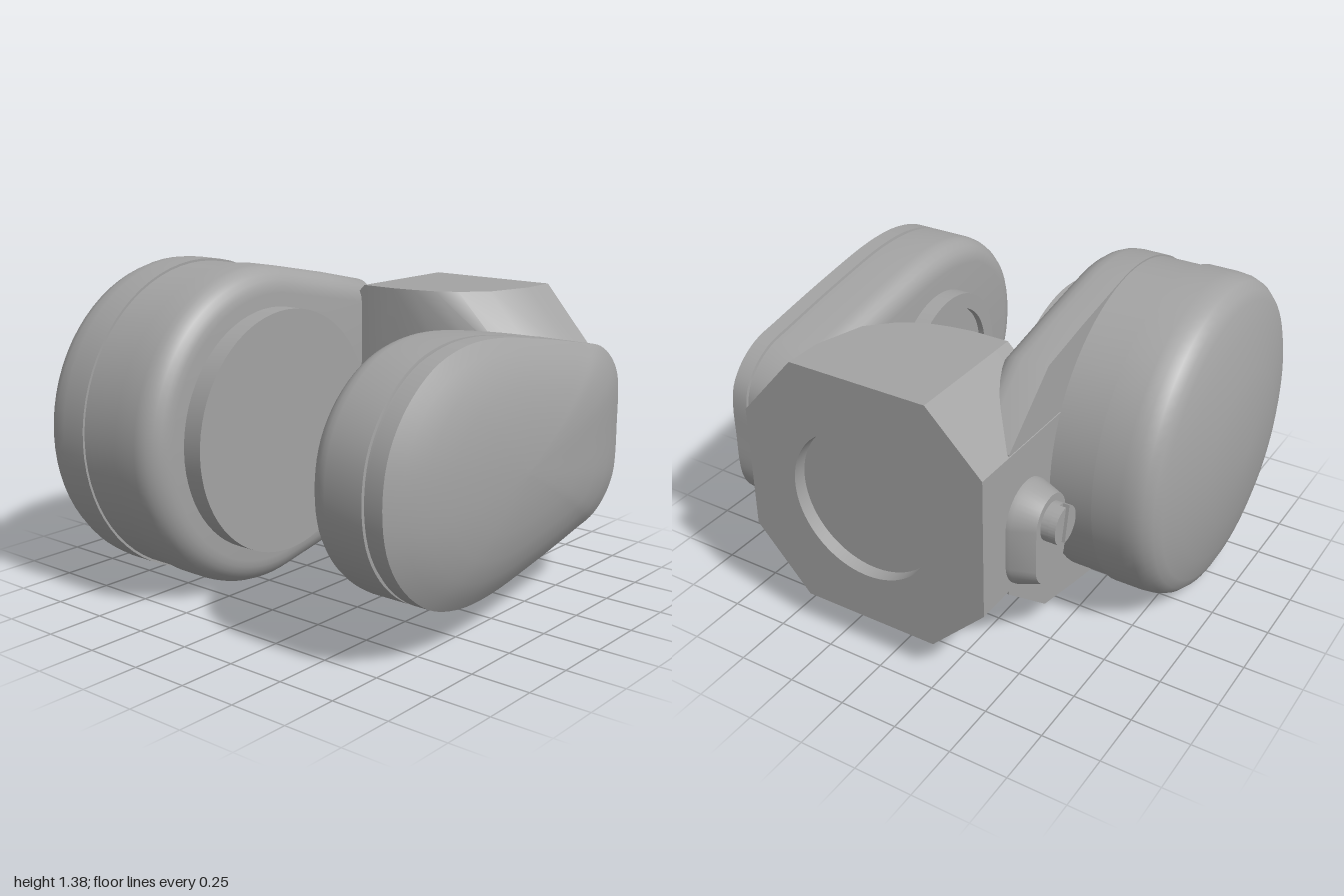
import * as THREE from 'three';
import { toCreasedNormals } from 'three/addons/utils/BufferGeometryUtils.js';

const CY = 0.69; // height of the horizontal axis of symmetry

// Skin counter-clockwise [x, y] outlines stacked along z, with closed ends
function loft(rings) {
  const n = rings[0].pts.length, pos = [], idx = [];
  const centre = (r) => r.pts.reduce((s, p) => [s[0] + p[0] / n, s[1] + p[1] / n], [0, 0]);
  for (const r of rings) for (const p of r.pts) pos.push(p[0], p[1], r.z);
  const last = rings.length - 1, c0 = rings.length * n, c1 = c0 + 1;
  pos.push(...centre(rings[0]), rings[0].z, ...centre(rings[last]), rings[last].z);
  for (let j = 0; j < n; j++) {
    const k = (j + 1) % n;
    for (let i = 0; i < last; i++) {
      const a = i * n + j, b = i * n + k;
      idx.push(a, b, b + n, a, b + n, a + n);
    }
    idx.push(c0, k, j, c1, last * n + j, last * n + k);
  }
  const g = new THREE.BufferGeometry();
  g.setAttribute('position', new THREE.Float32BufferAttribute(pos, 3));
  g.setIndex(idx);
  return g;
}

// Move an outline inwards along its normals
function inset(pts, d) {
  const n = pts.length;
  return pts.map((p, i) => {
    const a = pts[(i + n - 1) % n], b = pts[(i + 1) % n];
    const tx = b[0] - a[0], ty = b[1] - a[1], l = Math.hypot(tx, ty);
    return [p[0] - (ty / l) * d, p[1] + (tx / l) * d];
  });
}

const scaled = (pts, s, cx, cy) => pts.map(([x, y]) => [cx + (x - cx) * s, cy + (y - cy) * s]);

// Turned part on an axis along z, profile as [radius, z]
function turned(profile, x, y) {
  const g = new THREE.LatheGeometry(profile.map((p) => new THREE.Vector2(...p)), 72);
  return g.rotateX(Math.PI / 2).translate(x, y, 0);
}

// Closed smooth outline from its lower half, mirrored about the axis
function smoothOutline(lower, count) {
  const upper = lower.slice(1, -1).reverse().map(([x, y]) => [x, 2 * CY - y]);
  const v = [...lower, ...upper].map(([x, y]) => new THREE.Vector3(x, y, 0));
  const curve = new THREE.CatmullRomCurve3(v, true, 'centripetal');
  return curve.getPoints(count).slice(0, count).map((p) => [p.x, p.y]);
}

// Octagonal section of the bridge, u = -z, with a variable front edge
function octagon(front, flat) {
  return [[0.21, 0.15], [0.45, 0.39], [0.45, 1.0], [0.21, 1.24],
    [-flat, 1.24], [-front, 0.96], [-front, 0.42], [-flat, 0.15]];
}

export function createModel() {
  const group = new THREE.Group();
  const grey = new THREE.MeshStandardMaterial({ color: 0xa3a3a3 });
  grey.name = 'grey metal';
  const add = (name, geometry, crease = 0.6) => {
    const mesh = new THREE.Mesh(toCreasedNormals(geometry, crease), grey);
    mesh.name = name;
    group.add(mesh);
  };

  // Rear drum with domed cap
  add('rearDrum', turned([[0, -1], [0.33, -0.967], [0.5, -0.93], [0.6, -0.9], [0.64, -0.882],
    [0.67, -0.85], [0.685, -0.81], [0.69, -0.76], [0.69, -0.64], [0.68, -0.64], [0.68, -0.4]], -0.24, CY));

  // Rear arm: teardrop with a rounded inner edge
  const tear = [];
  for (let i = 0; i <= 48; i++) {
    const a = THREE.MathUtils.degToRad(78 + (204 * i) / 48);
    tear.push([-0.24 + 0.687 * Math.cos(a), CY + 0.687 * Math.sin(a)]);
  }
  tear.push([0.2, 0.075], [0.46, 0.132], [0.74, 0.37], [0.74, 1.01], [0.46, 1.248], [0.2, 1.305]);
  const armRings = [{ z: -0.448, pts: tear }];
  for (let i = 0; i <= 6; i++) {
    const a = (i / 6) * Math.PI / 2;
    armRings.push({ z: -0.335 + 0.11 * Math.sin(a), pts: inset(tear, 0.11 * (1 - Math.cos(a))) });
  }
  add('rearArm', loft(armRings));

  // Pads facing each other across the gap
  add('rearPad', turned([[0.52, -0.25], [0.52, -0.135], [0, -0.135]], -0.24, CY));
  add('frontPad', turned([[0, 0.455], [0.26, 0.455], [0.26, 0.425], [0.33, 0.425], [0.33, 0.52]], -0.205, CY));

  // Front housing with a rounded inner edge, a seam and a domed cover
  const pod = smoothOutline([[-0.865, CY], [-0.835, 0.51], [-0.74, 0.36], [-0.58, 0.24], [-0.4, 0.188],
    [-0.2, 0.183], [0.1, 0.225], [0.46, 0.293], [0.6, 0.325], [0.7, 0.39], [0.76, 0.48], [0.772, CY]], 96);
  const podRings = [];
  for (let i = 0; i <= 6; i++) {
    const a = (i / 6) * Math.PI / 2;
    podRings.push({ z: 0.6 - 0.1 * Math.cos(a), pts: inset(pod, 0.1 * (1 - Math.sin(a))) });
  }
  podRings.push({ z: 0.77, pts: pod }, { z: 0.772, pts: inset(pod, 0.012) });
  add('frontHousing', loft(podRings));
  const cover = [{ z: 0.765, pts: inset(pod, 0.012) }, { z: 0.788, pts: inset(pod, 0.012) },
    { z: 0.79, pts: pod }, { z: 0.862, pts: pod }];
  for (const [s, z] of [[0.9, 0.898], [0.78, 0.932], [0.62, 0.961], [0.42, 0.983], [0.2, 0.996], [0.03, 1]]) {
    cover.push({ z, pts: scaled(pod, s, -0.15, CY) });
  }
  add('frontCover', loft(cover), 0.4);

  // Bridge joining the two sides
  const stations = [[0.36, 0.02, 0.05], [0.375, -0.2, -0.05], [0.4, -0.4, -0.15], [0.45, -0.52, -0.24],
    [0.55, -0.6, -0.34], [0.76, -0.645, -0.4], [0.866, -0.645, -0.4]];
  add('bridge', loft(stations.map(([z, f, c]) => ({ z, pts: octagon(-f, -c) }))).rotateY(Math.PI / 2), 0.5);

  // Mounting plate with a round recess
  const plate = new THREE.Shape(octagon(0.645, 0.4).map((p) => new THREE.Vector2(...p)));
  const hole = new THREE.Path();
  hole.absarc(-0.1, CY, 0.325, 0, Math.PI * 2, true);
  plate.holes.push(hole);
  add('mountingPlate', new THREE.ExtrudeGeometry(plate, { depth: 0.06, bevelEnabled: false, curveSegments: 48 })
    .translate(0, 0, 0.865).rotateY(Math.PI / 2));

  // Gusset between bridge and front housing
  const web = [[0.07, -0.55], [0.5, -0.55], [0.5, 0.05], [0.36, 0.05], [0.23, -0.13], [0.07, -0.43]];
  add('gusset', loft([[0.36, 0.4], [0.5, 0.95], [0.6, 1], [0.78, 1], [0.88, 0.95], [1.02, 0.4]]
    .map(([z, s]) => ({ z, pts: scaled(web, s, 0.5, -0.55) }))).rotateX(-Math.PI / 2));

  // Tapered oblong boss on the back
  const stadium = (r, h) => Array.from({ length: 40 }, (_, i) => {
    const a = ((i + 0.5) / 40) * Math.PI * 2;
    return [0.62 + r * Math.cos(a), 0.605 + r * Math.sin(a) + Math.sign(Math.sin(a)) * (h - r)];
  });
  add('boss', loft([{ z: -0.56, pts: stadium(0.11, 0.195) }, { z: -0.47, pts: stadium(0.148, 0.225) },
    { z: -0.44, pts: stadium(0.15, 0.227) }]), 0.4);

  // Slotted screw
  add('screw', turned([[0, -0.595], [0.08, -0.595], [0.08, -0.54]], 0.62, CY));
  for (const side of [0, Math.PI]) {
    const half = new THREE.Shape();
    half.absarc(0, 0, 0.08, -1.4, 1.4, false);
    half.closePath();
    add('screwHeadHalf', new THREE.ExtrudeGeometry(half, { depth: 0.03, bevelEnabled: false, curveSegments: 20 })
      .rotateZ(side + 0.2).translate(0.62, CY, -0.622));
  }
  return group;
}
